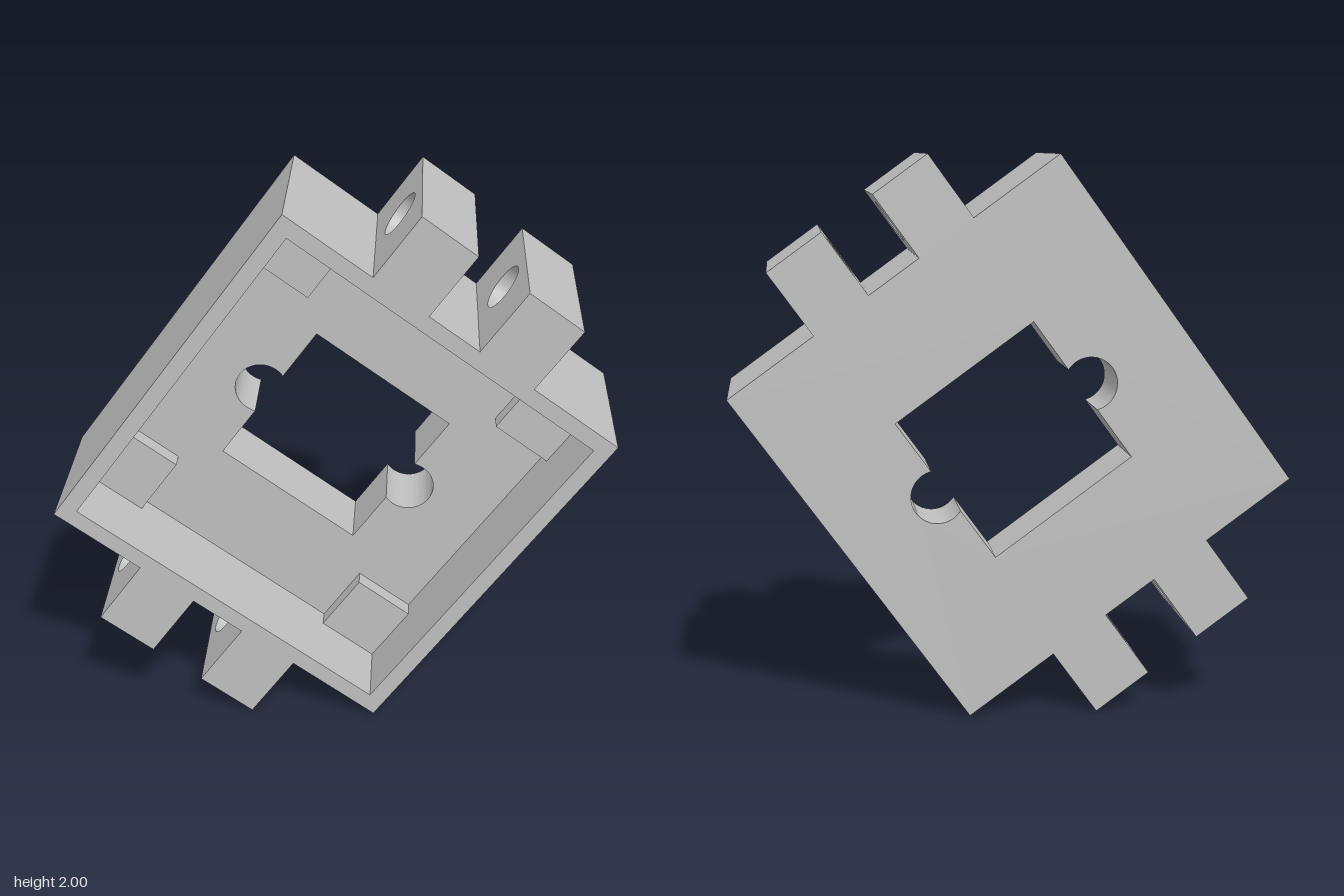
import * as THREE from 'three';
import { toCreasedNormals } from 'three/addons/utils/BufferGeometryUtils.js';

const HALF = 0.715;   // half side of the square body
const INNER = 0.655;  // half side of the tray opening
const DEPTH = 0.3;    // half thickness
const FLOOR = -0.036; // height of the tray floor

function rect(path, x0, y0, x1, y1) {
  path.moveTo(x0, y0);
  path.lineTo(x1, y0);
  path.lineTo(x1, y1);
  path.lineTo(x0, y1);
  path.closePath();
  return path;
}

function extrude(shape, from, to) {
  const geo = new THREE.ExtrudeGeometry(shape, { depth: to - from, bevelEnabled: false, curveSegments: 24 });
  geo.translate(0, 0, from);
  return toCreasedNormals(geo, 0.6);
}

export function createModel() {
  const grey = new THREE.MeshStandardMaterial({ color: 0xc0c0c0 });
  grey.name = 'light grey';
  const model = new THREE.Group();
  model.name = 'bracketHousing';

  const add = (name, geo) => {
    const mesh = new THREE.Mesh(geo, grey);
    mesh.name = name;
    model.add(mesh);
    return mesh;
  };

  // Floor slab with a square window that has a round notch on two sides
  const slab = rect(new THREE.Shape(), -HALF, -HALF, HALF, HALF);
  const w = 0.3, c = 0.335, r = 0.095;
  const a = Math.acos((w - c) / r);
  const win = new THREE.Path();
  win.moveTo(-w, -w);
  win.lineTo(w, -w);
  win.absarc(c, 0, r, -a, a, false);
  win.lineTo(w, w);
  win.lineTo(-w, w);
  win.absarc(-c, 0, r, Math.PI - a, Math.PI + a, false);
  win.closePath();
  slab.holes.push(win);
  add('floor', extrude(slab, -DEPTH, FLOOR));

  // Thin wall around the tray
  const wall = rect(new THREE.Shape(), -HALF, -HALF, HALF, HALF);
  wall.holes.push(rect(new THREE.Path(), -INNER, -INNER, INNER, INNER));
  add('rimWall', extrude(wall, FLOOR, DEPTH));

  // Raised pads in the four inner corners
  const padSize = 0.235, padHeight = 0.066;
  for (const sx of [-1, 1]) for (const sy of [-1, 1]) {
    const pad = add('cornerPad', new THREE.BoxGeometry(padSize, padSize, padHeight));
    const p = INNER - padSize / 2;
    pad.position.set(sx * p, sy * p, FLOOR + padHeight / 2);
  }

  // Four hinge lugs, each drilled sideways
  const toSideways = new THREE.Matrix4().makeBasis(
    new THREE.Vector3(0, 1, 0), new THREE.Vector3(0, 0, 1), new THREE.Vector3(1, 0, 0));
  for (const sy of [-1, 1]) {
    const [lo, hi] = sy > 0 ? [HALF, 0.985] : [-0.985, -HALF];
    const lug = rect(new THREE.Shape(), lo, -DEPTH, hi, DEPTH);
    const bore = new THREE.Path();
    bore.absarc(sy * 0.857, 0, 0.087, 0, Math.PI * 2, true);
    lug.holes.push(bore);
    for (const [from, to] of [[-0.343, -0.108], [0.108, 0.343]]) {
      add('hingeLug', extrude(lug, from, to).applyMatrix4(toSideways));
    }
  }

  // Tilt the housing in its own plane, then turn it about the vertical
  model.rotation.set(0, THREE.MathUtils.degToRad(-46), THREE.MathUtils.degToRad(-35.9), 'YXZ');
  model.position.y = 1;
  const group = new THREE.Group();
  group.name = 'model';
  group.add(model);
  return group;
}
